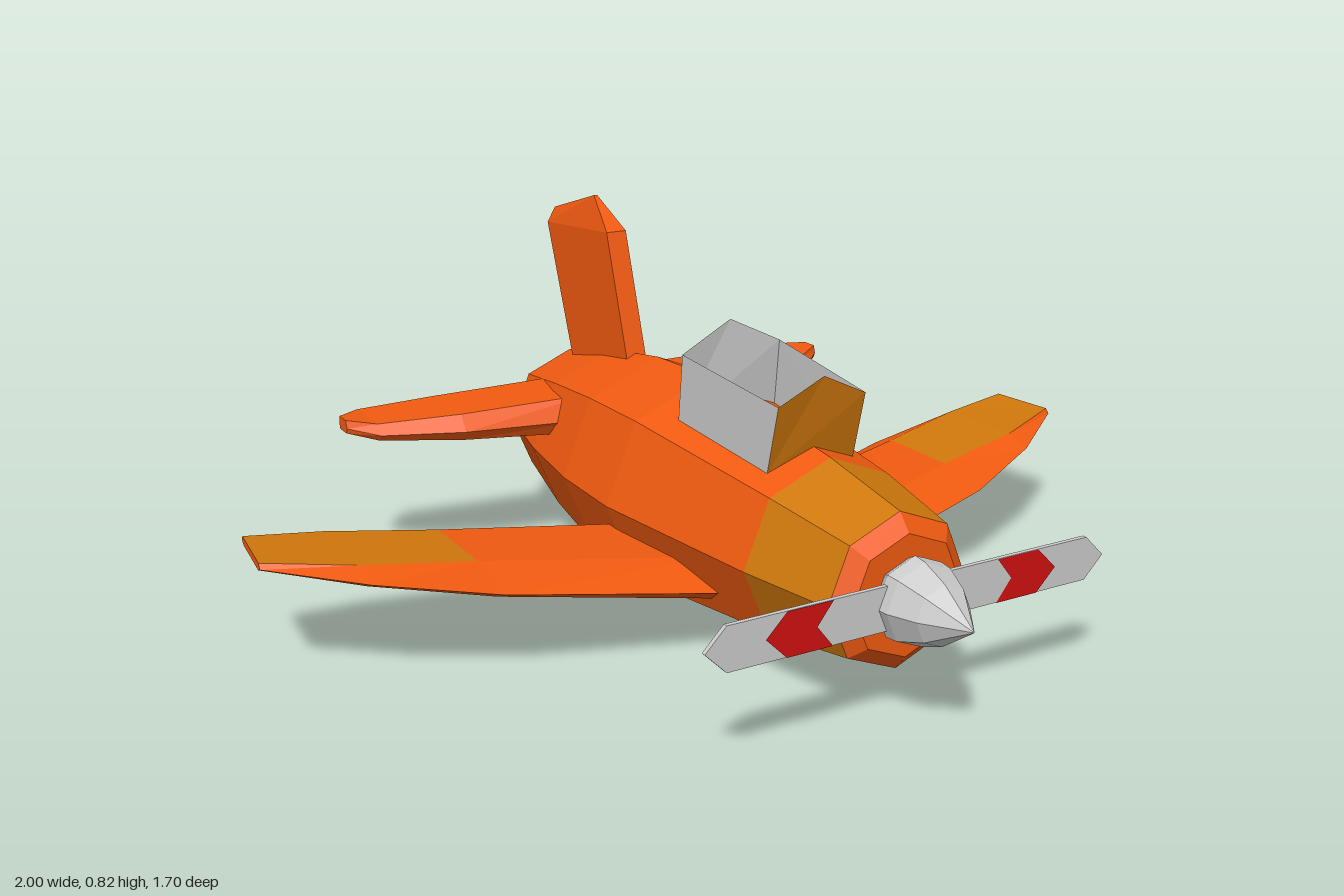
import * as THREE from 'three';

const material = (color) =>
  new THREE.MeshStandardMaterial({ color, flatShading: true, side: THREE.DoubleSide });

// Skin over a row of equal-length rings; side = -1 mirrors it in x.
function loft(rings, { side = 1, caps = true, pick = () => true } = {}) {
  const out = [];
  const tri = (a, b, c) => {
    for (const p of side > 0 ? [a, b, c] : [a, c, b]) out.push(p[0] * side, p[1], p[2]);
  };
  const n = rings[0].length;
  for (let i = 0; i < rings.length - 1; i++) {
    for (let j = 0; j < n; j++) {
      if (!pick(i, j)) continue;
      const k = (j + 1) % n;
      const [a, b, c, d] = [rings[i][j], rings[i][k], rings[i + 1][k], rings[i + 1][j]];
      tri(a, b, c);
      tri(a, c, d);
    }
  }
  if (caps) {
    const first = rings[0], last = rings[rings.length - 1];
    for (let j = 1; j < n - 1; j++) {
      tri(first[0], first[j + 1], first[j]);
      tri(last[0], last[j], last[j + 1]);
    }
  }
  const geo = new THREE.BufferGeometry();
  geo.setAttribute('position', new THREE.Float32BufferAttribute(out, 3));
  geo.computeVertexNormals();
  return geo;
}

// Flat panel fanned from its corner points.
function panel(points) {
  const geo = new THREE.BufferGeometry();
  geo.setAttribute('position', new THREE.Float32BufferAttribute(points.flat(), 3));
  const index = [];
  for (let j = 1; j < points.length - 1; j++) index.push(0, j, j + 1);
  geo.setIndex(index);
  geo.computeVertexNormals();
  return geo;
}

// Six-point section of a wing or tailplane.
function section({ x, lead, trail, low, high, front = 0.12, rear = 0.93, sweep = 0 }) {
  const at = (f, y) => [x - sweep * f, y, lead + (trail - lead) * f];
  const nose = low + (high - low) * 0.4;
  return [at(rear, high), at(front, high), at(0, nose), at(0.1, low), at(0.9, low), at(1, nose)];
}

const CENTRE = 0.26;
const hullRing = ([z, r]) => Array.from({ length: 8 }, (_, k) => {
  const a = (k * Math.PI) / 4;
  return [r * Math.cos(a), CENTRE + r * Math.sin(a), z];
});

export function createModel() {
  const model = new THREE.Group();
  model.name = 'airplane';
  const orange = material(0xf05a10);
  const amber = material(0xd0780c);
  const grey = material(0xcccccc);
  const red = material(0xd01010);
  const add = (name, geometry, mat, parent = model) => {
    const mesh = new THREE.Mesh(geometry, mat);
    mesh.name = name;
    parent.add(mesh);
    return mesh;
  };

  // Eight-sided fuselage with an amber band behind the nose
  const hull = [
    [-0.85, 0.08], [-0.75, 0.16], [-0.53, 0.21], [-0.3, 0.245],
    [-0.08, 0.253], [0.39, 0.2], [0.62, 0.16], [0.65, 0.125],
  ].map(hullRing);
  const isBand = (i) => i === 5;
  add('fuselage', loft(hull, { pick: (i) => !isBand(i) }), orange);
  add('noseBand', loft(hull, { caps: false, pick: isBand }), amber);

  // Wings and tailplanes
  const wing = [
    { x: 0.12, lead: 0.27, trail: -0.13, low: 0.13, high: 0.195, front: 0.3, rear: 0.9 },
    { x: 0.59, lead: 0.14, trail: -0.27, low: 0.19, high: 0.235, front: 0.32, rear: 0.83 },
    { x: 0.82, lead: 0.03, trail: -0.29, low: 0.226, high: 0.259, front: 0.2, rear: 0.89 },
    { x: 1.0, lead: -0.1, trail: -0.28, low: 0.257, high: 0.275, front: 0.05, rear: 0.95, sweep: 0.02 },
  ].map(section);
  const tailplane = [
    { x: 0.1, lead: -0.42, trail: -0.64, low: 0.305, high: 0.395 },
    { x: 0.4, lead: -0.475, trail: -0.685, low: 0.32, high: 0.38 },
    { x: 0.575, lead: -0.545, trail: -0.71, low: 0.33, high: 0.368 },
    { x: 0.635, lead: -0.6, trail: -0.65, low: 0.345, high: 0.375 },
  ].map(section);
  const isTipPanel = (i, j) => i > 0 && j === 0;
  for (const [label, side] of [['left', 1], ['right', -1]]) {
    add(label + 'Wing', loft(wing, { side, pick: (i, j) => !isTipPanel(i, j) }), orange);
    add(label + 'WingPanel', loft(wing, { side, caps: false, pick: isTipPanel }), amber);
    add(label + 'Tailplane', loft(tailplane, { side }), orange);
  }

  // Swept fin narrowing to a ridge; each row: half width, front z and y, rear z and y
  const fin = [
    [0.025, -0.38, 0.41, -0.67, 0.39],
    [0.025, -0.49, 0.76, -0.8, 0.735],
    [0.004, -0.59, 0.83, -0.8, 0.77],
  ].map(([w, zf, yf, zr, yr]) => [[-w, yf, zf], [w, yf, zf], [w, yr, zr], [-w, yr, zr]]);
  add('fin', loft(fin), orange);

  // Open-topped canopy: amber windscreen, grey sides and back
  const canopy = new THREE.Group();
  canopy.name = 'canopy';
  model.add(canopy);
  const pane = (w, [y0, z0], [y1, z1], [y2, z2]) =>
    panel([[-w, y0, z0], [w, y0, z0], [w, y1, z1], [0, y2, z2], [-w, y1, z1]]);
  add('windscreen', pane(0.103, [0.42, 0.32], [0.57, 0.36], [0.62, 0.365]), amber, canopy);
  add('canopyBack', pane(0.12, [0.44, 0], [0.6, 0.02], [0.66, 0.015]), grey, canopy);
  for (const [label, s] of [['left', 1], ['right', -1]]) {
    const corners = [[0.103 * s, 0.42, 0.32], [0.12 * s, 0.44, 0], [0.12 * s, 0.6, 0.02], [0.103 * s, 0.57, 0.36]];
    add(label + 'CanopySide', panel(s > 0 ? corners : corners.reverse()), grey, canopy);
  }

  // Spinner
  const profile = [[0, 0.64], [0.07, 0.64], [0.088, 0.67], [0.085, 0.7], [0.062, 0.76], [0, 0.85]];
  const spinner = new THREE.LatheGeometry(profile.map(([r, z]) => new THREE.Vector2(r, z)), 8);
  spinner.rotateX(Math.PI / 2);
  add('spinner', spinner, grey).position.y = CENTRE;

  // Two-bladed propeller with red chevrons on the front
  const outline = (points) => new THREE.Shape(points.map(([x, y]) => new THREE.Vector2(x, y)));
  const blades = outline([[-0.46, 0], [-0.415, -0.045], [0.415, -0.045], [0.46, 0], [0.415, 0.045], [-0.415, 0.045]]);
  add('propeller', new THREE.ExtrudeGeometry(blades, { depth: 0.01, bevelEnabled: false }), grey)
    .position.set(0, CENTRE, 0.67);
  for (const [label, s] of [['left', 1], ['right', -1]]) {
    const chevron = outline([[0.19, -0.045], [0.29, -0.045], [0.335, 0], [0.29, 0.045], [0.19, 0.045], [0.225, 0]]
      .map(([x, y]) => [x * s, y]));
    add(label + 'Chevron', new THREE.ShapeGeometry(chevron), red).position.set(0, CENTRE, 0.682);
  }
  return model;
}
